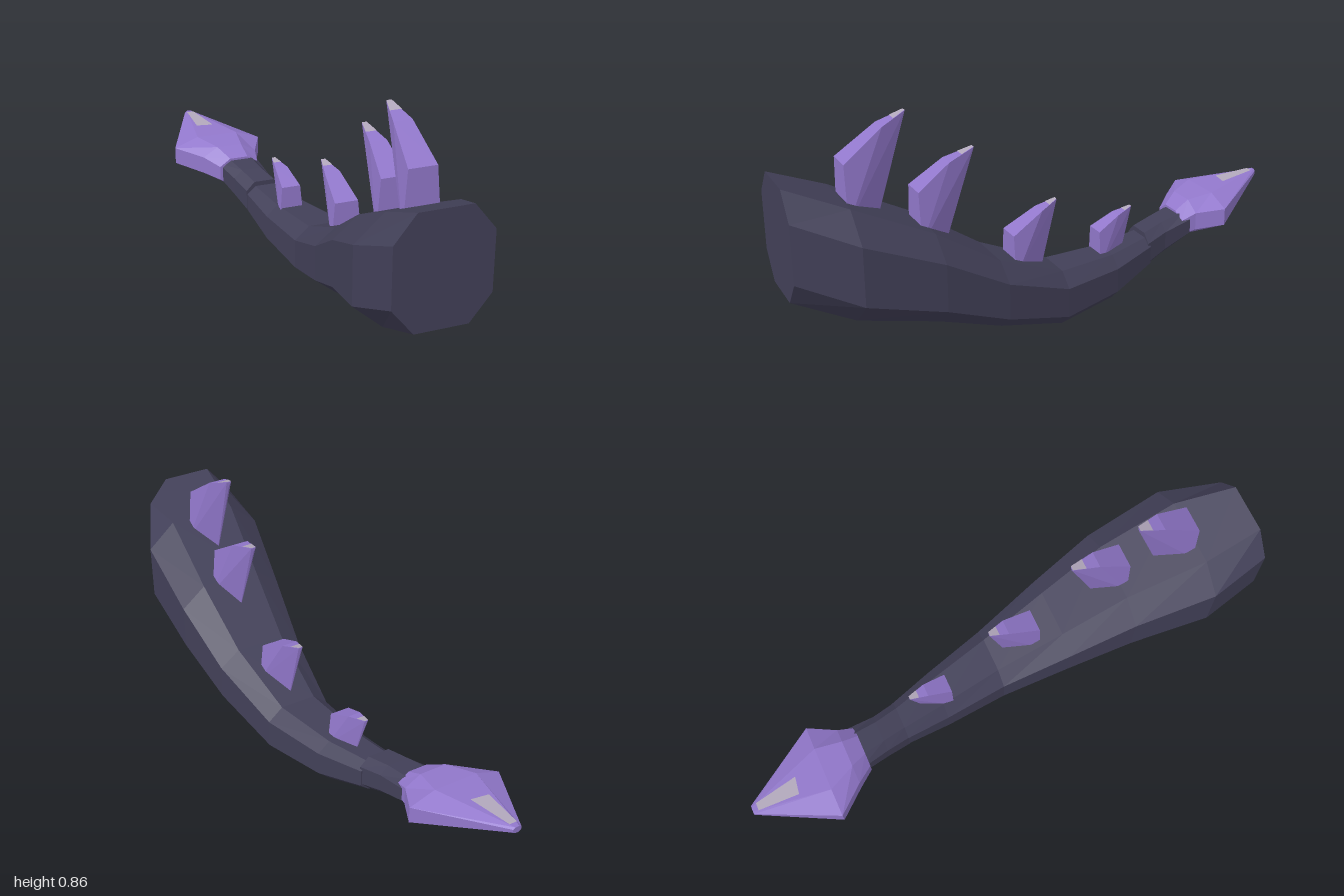
import * as THREE from 'three';
import { ConvexGeometry } from 'three/addons/geometries/ConvexGeometry.js';

const mat = (name, color, extra = {}) =>
  new THREE.MeshStandardMaterial({ name, color, flatShading: true, ...extra });

// Octagon with cut corners, clockwise as seen from the front
function octagon([z, x0, x1, y0, y1], cutX, cutY) {
  const cx = (x1 - x0) * cutX, cy = (y1 - y0) * cutY;
  return [[x0 + cx, y1], [x1 - cx, y1], [x1, y1 - cy], [x1, y0 + cy],
    [x1 - cx, y0], [x0 + cx, y0], [x0, y0 + cy], [x0, y1 - cy]].map(([x, y]) => [x, y, z]);
}

function fromTriangles(points) {
  const g = new THREE.BufferGeometry();
  g.setAttribute('position', new THREE.Float32BufferAttribute(points.flat(), 3));
  g.computeVertexNormals();
  return g;
}

// Skin octagon sections running from front to back, with both ends capped
function loft(rows, cutX, cutY) {
  const rings = rows.map(r => octagon(r, cutX, cutY));
  const tris = [];
  for (let s = 0; s < rings.length - 1; s++) {
    for (let i = 0; i < 8; i++) {
      const j = (i + 1) % 8;
      const a = rings[s][i], b = rings[s][j], c = rings[s + 1][j], d = rings[s + 1][i];
      tris.push(a, b, d, b, c, d);
    }
  }
  const first = rings[0], last = rings[rings.length - 1];
  for (let i = 1; i < 7; i++) {
    tris.push(first[0], first[i + 1], first[i]);
    tris.push(last[0], last[i], last[i + 1]);
  }
  return fromTriangles(tris);
}

export function createModel() {
  const group = new THREE.Group();
  const hide = mat('darkHide', 0x424058);
  const horn = mat('purpleHorn', 0x9278cc);
  const pale = mat('paleTip', 0xb2a8bc, { side: THREE.DoubleSide });
  const add = (parent, name, geometry, material) => {
    const mesh = new THREE.Mesh(geometry, material);
    mesh.name = name;
    parent.add(mesh);
  };

  // Curved tail: z, left x, right x, bottom y, top y
  add(group, 'tailBody', loft([
    [1.0, -0.13, 0.20, 0.30, 0.69],
    [0.8, -0.165, 0.293, 0.22, 0.61],
    [0.52, -0.115, 0.287, 0.155, 0.475],
    [0.28, -0.08, 0.25, 0.072, 0.32],
    [0.02, -0.055, 0.187, 0.003, 0.21],
    [-0.22, -0.08, 0.115, 0.027, 0.2],
    [-0.4, -0.1, 0.047, 0.09, 0.215],
  ], 0.225, 0.235), hide);

  // Narrow collar joining the tail to its blade
  add(group, 'tailNeck', loft([
    [-0.39, -0.102, 0.045, 0.088, 0.232],
    [-0.48, -0.122, 0.02, 0.12, 0.25],
    [-0.6, -0.155, 0.008, 0.17, 0.27],
  ], 0.225, 0.235), hide);

  // Spade-shaped end blade
  add(group, 'tailBlade', loft([
    [-0.56, -0.155, 0.002, 0.158, 0.272],
    [-0.62, -0.205, 0.012, 0.165, 0.305],
    [-0.72, -0.295, 0.06, 0.185, 0.32],
    [-1.0, -0.172, -0.14, 0.31, 0.335],
  ], 0.27, 0.26), horn);

  // Pale patch on the blade
  const patchY = z => 0.322 + 0.015 * (-0.72 - z) / 0.28;
  const p = [[-0.17, -0.83], [-0.105, -0.82], [-0.14, -0.98], [-0.168, -0.98]]
    .map(([x, z]) => [x, patchY(z), z]);
  add(group, 'bladePatch', fromTriangles([p[0], p[1], p[2], p[0], p[2], p[3]]), pale);

  // Back spines: front z, front base and top y, shoulder, tip, rear base, left x, right x, tip x
  const spines = [
    { zf: 0.79, yf: [0.53, 0.73], mid: [0.65, 0.83], tip: [0.56, 0.865], rear: [0.68, 0.48], x: [0, 0.13], tx: 0.053 },
    { zf: 0.55, yf: [0.42, 0.60], mid: [0.43, 0.68], tip: [0.33, 0.71], rear: [0.45, 0.36], x: [0.025, 0.148], tx: 0.074 },
    { zf: 0.2, yf: [0.22, 0.37], mid: [0.08, 0.437], tip: [0.01, 0.46], rear: [0.085, 0.17], x: [0.015, 0.13], tx: 0.058 },
    { zf: -0.18, yf: [0.15, 0.285], mid: [-0.27, 0.33], tip: [-0.337, 0.345], rear: [-0.285, 0.15], x: [-0.04, 0.055], tx: -0.008 },
  ];
  spines.forEach(({ zf, yf, mid, tip, rear, x, tx }, i) => {
    const spine = new THREE.Group();
    spine.name = 'spine' + (i + 1);
    const w = x[1] - x[0], cx = (x[0] + x[1]) / 2, mx = (cx + tx) / 2;
    const V = (a, y, z) => new THREE.Vector3(a, y, z);
    const midL = V(mx - w * 0.25, mid[1], mid[0]), midR = V(mx + w * 0.25, mid[1], mid[0]);
    const tipL = V(tx - w * 0.07, tip[1], tip[0]), tipR = V(tx + w * 0.07, tip[1], tip[0]);
    add(spine, 'spineHorn', new ConvexGeometry([
      V(x[0], yf[0], zf), V(x[1], yf[0], zf),
      V(cx - w * 0.4, yf[1], zf), V(cx + w * 0.36, yf[1], zf),
      midL, midR, tipL, tipR,
      V(tx, tip[1] - 0.015, tip[0]), V(cx, rear[1], rear[0]),
    ]), horn);

    // Pale plate along the upper end of the spine
    const q = [midL.clone().lerp(tipL, 0.5), midR.clone().lerp(tipR, 0.5), tipR, tipL]
      .map(v => [v.x, v.y + 0.002, v.z]);
    add(spine, 'spineTip', fromTriangles([q[0], q[1], q[2], q[0], q[2], q[3]]), pale);
    group.add(spine);
  });
  return group;
}
